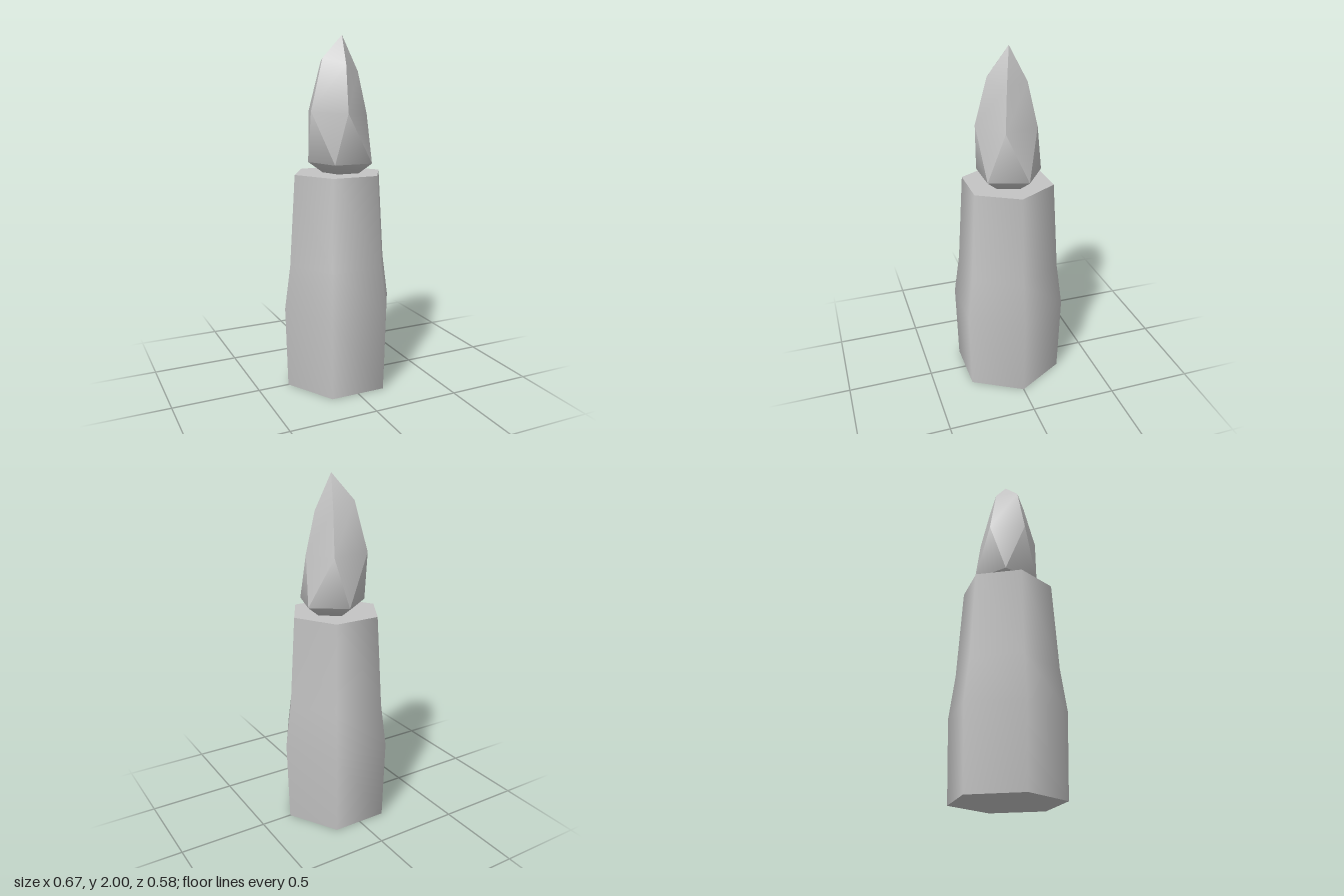
import * as THREE from 'three';
import { toCreasedNormals } from 'three/addons/utils/BufferGeometryUtils.js';

const SIDES = 5;

// Five-sided ring; tilt makes the height fall towards +x
function ring(cx, y, r, startDeg, tilt = 0) {
  return Array.from({ length: SIDES }, (_, i) => {
    const a = THREE.MathUtils.degToRad(startDeg + (360 / SIDES) * i);
    const dx = r * Math.cos(a);
    return [cx + dx, y - tilt * dx, r * Math.sin(a)];
  });
}

// Closed faceted solid through the rings, ending in a point
function loft(rings, base, tip) {
  const points = [...rings.flat(), base, tip];
  const baseId = points.length - 2, tipId = points.length - 1;
  const last = (rings.length - 1) * SIDES;
  const index = [];
  for (let i = 0; i < SIDES; i++) {
    const j = (i + 1) % SIDES;
    index.push(i, j, baseId);
    for (let k = 0; k < last; k += SIDES) {
      const up = k + SIDES;
      index.push(k + i, up + i, k + j, k + j, up + i, up + j);
    }
    index.push(last + i, tipId, last + j);
  }
  const geometry = new THREE.BufferGeometry();
  geometry.setAttribute('position', new THREE.Float32BufferAttribute(points.flat(), 3));
  geometry.setIndex(index);
  return toCreasedNormals(geometry, 1.0);
}

export function createModel() {
  const model = new THREE.Group();
  model.name = 'candle';
  const grey = new THREE.MeshStandardMaterial({ color: 0xc4c4c4 });
  grey.name = 'grey';

  const add = (name, geometry, parent) => {
    const mesh = new THREE.Mesh(geometry, grey);
    mesh.name = name;
    parent.add(mesh);
    return mesh;
  };

  // Wax: six-sided body, widest below the middle, with flat ends
  const wax = new THREE.Group();
  wax.name = 'wax';
  model.add(wax);
  const profile = [[0.32, 0], [0.333, 0.47], [0.298, 0.72], [0.264, 1.24]]
    .map(([r, y]) => new THREE.Vector2(r, y));
  add('waxSide', new THREE.LatheGeometry(profile, 6, Math.PI / 2), wax);
  const top = add('waxTop', new THREE.CircleGeometry(0.264, 6).rotateX(-Math.PI / 2), wax);
  top.position.y = 1.24;
  add('waxBottom', new THREE.CircleGeometry(0.32, 6).rotateX(Math.PI / 2), wax);

  // Flame: twisted and leaning, coming to a point
  add('flame', loft([
    ring(0.025, 1.24, 0.11, -18),
    ring(0.025, 1.3, 0.192, -18),
    ring(-0.015, 1.58, 0.177, 19, 0.06),
    ring(0, 1.838, 0.112, 19, 0.33),
  ], [0.025, 1.24, 0], [0.025, 2, 0]), model);

  return model;
}
